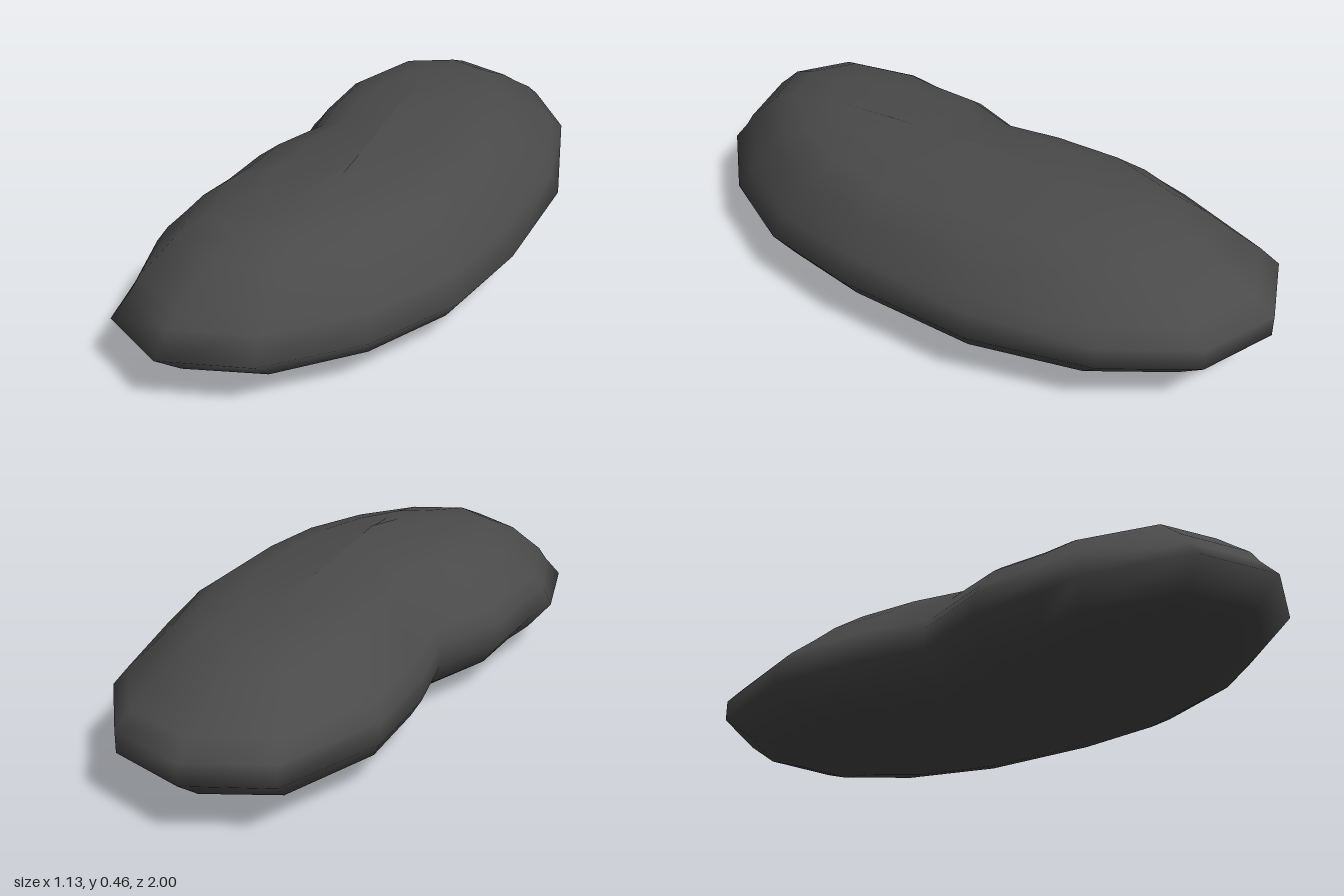
import * as THREE from 'three';

// Plan outline of the kidney shape as [x, z], running back, left, front, right
const OUTLINE = [
  [-0.36, -1], [-0.10, -1], [0.14, -0.83], [0.36, -0.52], [0.51, -0.09], [0.565, 0.23],
  [0.52, 0.55], [0.38, 0.84], [0.16, 1], [-0.09, 0.95], [-0.26, 0.68], [-0.285, 0.53],
  [-0.35, 0.31], [-0.335, 0.03], [-0.46, -0.19], [-0.565, -0.47], [-0.55, -0.83],
];

// Layers from underside to top: [scale towards the spine, height, extra inset on the sharper front-left rim]
const LAYERS = [
  [0, 0, 0], [0.375, 0.008, 0], [0.6, 0.032, 0], [0.76, 0.058, 0], [0.88, 0.092, 0], [1, 0.165, 0],
  [1, 0.232, 0.08], [0.93, 0.275, 0.05], [0.82, 0.325, 0.02], [0.73, 0.37, 0], [0.6, 0.415, 0],
  [0.375, 0.446, 0], [0, 0.46, 0],
];

function beanGeometry() {
  const positions = [];
  const index = [];
  const n = OUTLINE.length;
  for (const [scale, y, inset] of LAYERS) {
    for (const [x, z] of OUTLINE) {
      // each rim point shrinks towards its own place on a short slanted spine
      const cz = 0.22 * z;
      const cx = 0.04 + 0.45 * cz;
      const s = scale - inset * THREE.MathUtils.smoothstep(x + z * 0.5, -0.3, 0.4);
      positions.push(cx + (x - cx) * s, y, cz + (z - cz) * s);
    }
  }
  for (let i = 0; i < LAYERS.length - 1; i++) {
    for (let j = 0; j < n; j++) {
      const a = i * n + j;
      const b = i * n + (j + 1) % n;
      index.push(a, a + n, b, b, a + n, b + n);
    }
  }
  const geometry = new THREE.BufferGeometry();
  geometry.setAttribute('position', new THREE.Float32BufferAttribute(positions, 3));
  geometry.setIndex(index);
  geometry.computeVertexNormals();
  return geometry;
}

export function createModel() {
  const group = new THREE.Group();
  group.name = 'bean';
  const body = new THREE.Mesh(beanGeometry(), new THREE.MeshStandardMaterial({ color: 0x4a4a4a }));
  body.name = 'beanBody';
  group.add(body);
  return group;
}
